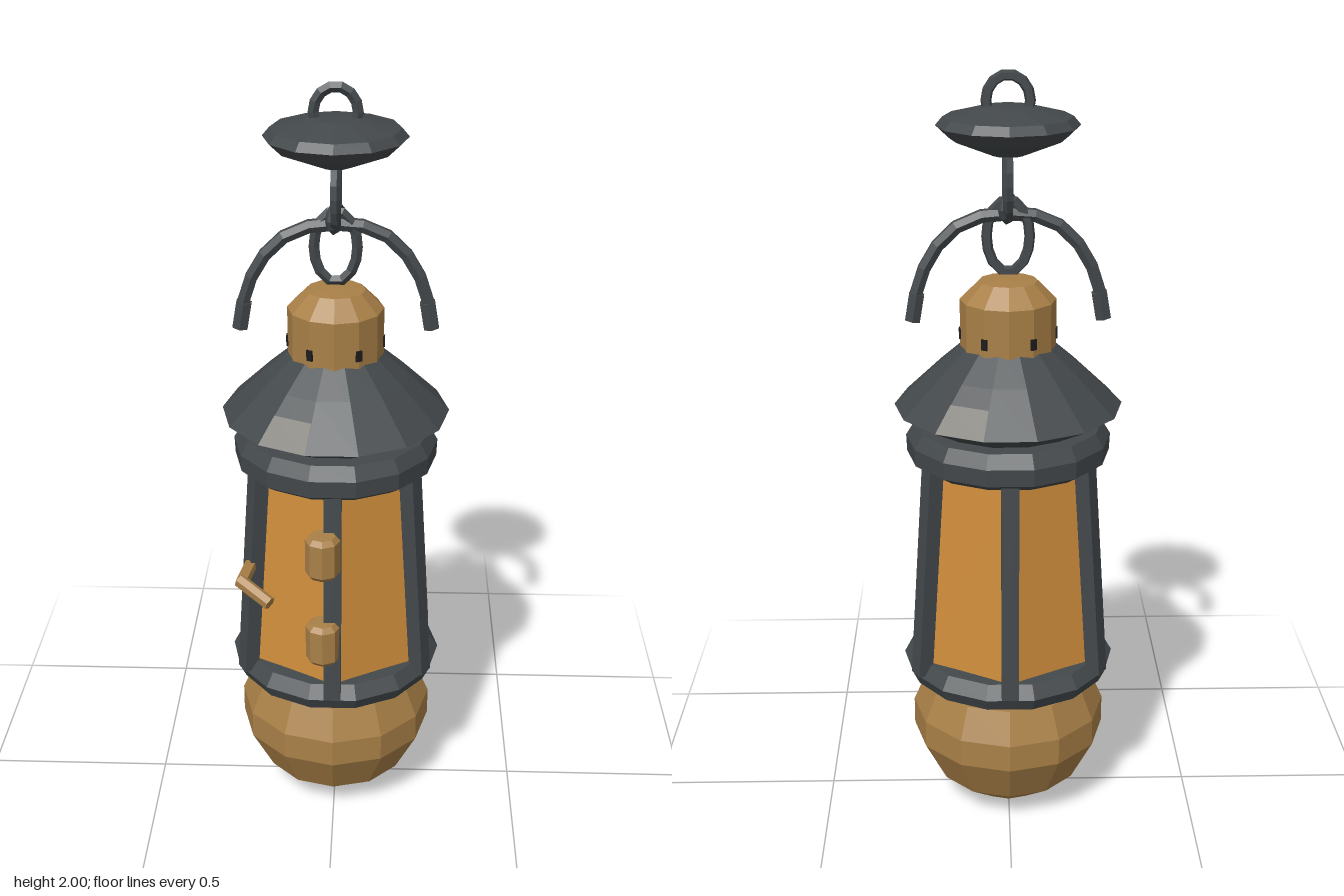
import * as THREE from 'three';

const mat = (color) => new THREE.MeshStandardMaterial({ color, flatShading: true });
const iron = mat(0x43484b), brass = mat(0xa98047), glass = mat(0xd08e3c), worn = mat(0x77756d), black = mat(0x1c1c1c);
const V = (x, y, z) => new THREE.Vector3(x, y, z);

export function createModel() {
  const group = new THREE.Group();
  const body = new THREE.Group();
  body.name = 'lantern';
  body.position.z = -0.01;
  group.add(body);

  const add = (name, geometry, material, parent = body) => {
    const mesh = new THREE.Mesh(geometry, material);
    mesh.name = name;
    parent.add(mesh);
    return mesh;
  };
  // Faceted turned part; profile runs from bottom to top
  const turned = (name, profile, sides, material, start = 0, length = Math.PI * 2) =>
    add(name, new THREE.LatheGeometry(profile.map(([r, y]) => new THREE.Vector2(r, y)), sides, start, length), material);
  // Square or round bar between two points
  const bar = (name, a, b, r, sides, material, parent = body) => {
    const mesh = add(name, new THREE.CylinderGeometry(r, r, a.distanceTo(b), sides), material, parent);
    mesh.position.copy(a).add(b).multiplyScalar(0.5);
    mesh.quaternion.setFromUnitVectors(V(0, 1, 0), b.clone().sub(a).normalize());
    return mesh;
  };
  // Oval chain link, upright in the xy plane
  const link = (name, rx, ry, y, turn = 0) => {
    const points = [];
    for (let i = 0; i < 12; i++) {
      const a = (i / 12) * Math.PI * 2;
      points.push(V(rx * Math.cos(a), ry * Math.sin(a), 0));
    }
    const mesh = add(name, new THREE.TubeGeometry(new THREE.CatmullRomCurve3(points, true), 14, 0.014, 5, true), iron);
    mesh.position.y = y;
    mesh.rotation.y = turn;
  };

  // Brass fuel globe and the iron rings around the glass
  turned('fuelGlobe', [[0, 0], [0.09, 0], [0.2, 0.08], [0.262, 0.2], [0.262, 0.275], [0.225, 0.36], [0, 0.36]], 12, brass);
  turned('baseRing', [[0, 0.36], [0.21, 0.36], [0.268, 0.39], [0.285, 0.425], [0.26, 0.46], [0, 0.47]], 14, iron, Math.PI / 14);
  turned('upperRing', [[0, 1], [0.235, 1], [0.265, 1.02], [0.267, 1.065], [0.245, 1.1], [0, 1.1]], 14, iron, Math.PI / 14);

  // Six-sided tapering glass with a rib on each corner
  add('glass', new THREE.CylinderGeometry(0.215, 0.255, 0.58, 6), glass).position.y = 0.73;
  for (let i = 0; i < 6; i++) {
    const corner = new THREE.Group();
    corner.name = 'rib' + (i + 1);
    corner.rotation.y = (i * Math.PI) / 3;
    body.add(corner);
    const rib = add('ribBar', new THREE.BoxGeometry(0.045, 0.6, 0.04), iron, corner);
    rib.position.set(0, 0.73, 0.247);
    rib.rotation.x = -0.075;
  }

  // Roof with two worn facets
  turned('roof', [[0, 1.09], [0.19, 1.095], [0.295, 1.15], [0.19, 1.25], [0.115, 1.315], [0, 1.315]], 14, iron, Math.PI / 14);
  for (const start of [-3 * Math.PI / 14, 11 * Math.PI / 14])
    turned('wornFacet', [[0.296, 1.151], [0.235, 1.21]], 1, worn, start, Math.PI / 7);

  // Brass chimney with small vents
  turned('chimney', [[0.123, 1.3], [0.123, 1.43], [0.075, 1.478], [0, 1.48]], 12, brass);
  for (let i = 0; i < 6; i++) {
    const a = Math.PI / 6 + (i * Math.PI) / 3;
    const vent = add('vent', new THREE.BoxGeometry(0.016, 0.028, 0.01), black);
    vent.position.set(0.121 * Math.sin(a), 1.34, 0.121 * Math.cos(a));
    vent.rotation.y = a;
  }

  // Carrying handle with a small eye at its crown
  const half = [[0.243, 1.38], [0.225, 1.475], [0.18, 1.565], [0.105, 1.63]];
  const arc = [...half.map(([x, y]) => V(-x, y, 0.008)), V(0, 1.648, 0), ...half.reverse().map(([x, y]) => V(x, y, -0.004))];
  add('handle', new THREE.TubeGeometry(new THREE.CatmullRomCurve3(arc), 12, 0.018, 6), iron);
  for (const end of [arc[0], arc[8]])
    bar('handleEnd', end.clone().add(V(0, -0.005, 0)), end.clone().add(V(-Math.sign(end.x) * 0.012, 0.065, 0)), 0.022, 6, iron);
  const eye = add('handleEye', new THREE.TorusGeometry(0.03, 0.012, 5, 10), iron);
  eye.position.y = 1.662;
  eye.rotation.y = 1.1;

  // Chain and ceiling canopy
  link('lowerLink', 0.054, 0.092, 1.59);
  link('upperLink', 0.054, 0.085, 1.725, Math.PI / 2);
  turned('canopy', [[0, 1.79], [0.04, 1.793], [0.145, 1.835], [0.178, 1.866], [0.16, 1.887], [0.063, 1.911], [0, 1.915]], 12, iron);
  link('topLoop', 0.054, 0.062, 1.924);

  // Door hinges on the front rib
  for (const y of [0.605, 0.86]) {
    const profile = [[0, -0.058], [0.033, -0.058], [0.045, -0.045], [0.045, 0.045], [0.033, 0.058], [0, 0.058]];
    const hinge = turned('hinge', profile, 8, brass);
    hinge.position.set(-0.024, y, 0.268);
  }

  // Bent door latch
  const bend = V(-0.235, 0.752, 0.225);
  bar('latchStem', V(-0.215, 0.755, 0.11), bend, 0.017, 6, brass);
  bar('latchGrip', bend.clone().add(V(-0.008, 0.004, -0.005)), V(-0.16, 0.72, 0.275), 0.018, 6, brass);

  return group;
}
